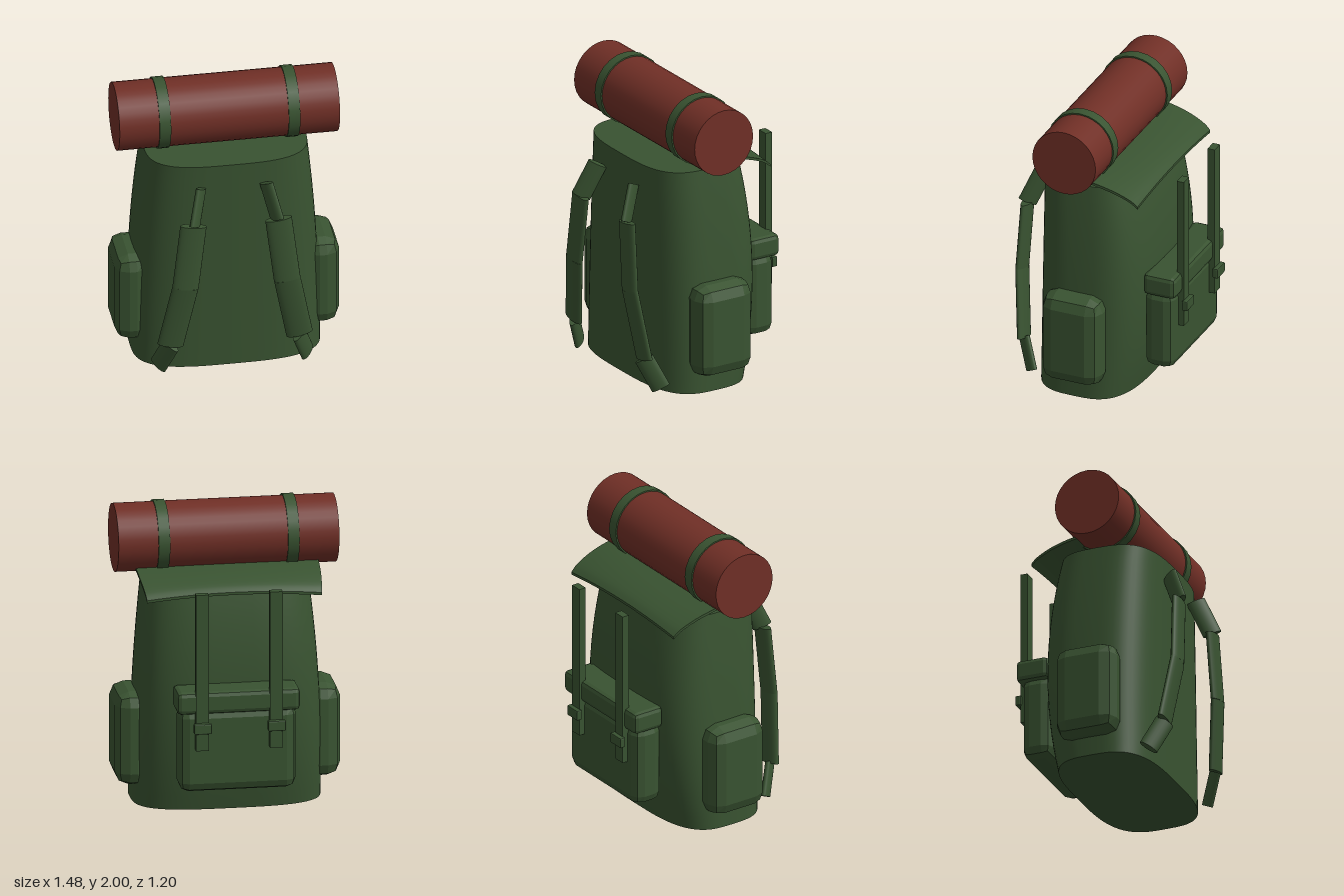
import * as THREE from 'three';
import { toCreasedNormals } from 'three/addons/utils/BufferGeometryUtils.js';
import { RoundedBoxGeometry } from 'three/addons/geometries/RoundedBoxGeometry.js';

const canvas = new THREE.MeshStandardMaterial({ color: 0x395331 });
canvas.name = 'green canvas';
const blanket = new THREE.MeshStandardMaterial({ color: 0x702f26 });
blanket.name = 'red blanket';

export function createModel() {
  const model = new THREE.Group();
  model.name = 'backpack';

  const add = (name, geometry, material = canvas, x = 0, y = 0, z = 0) => {
    const mesh = new THREE.Mesh(geometry, material);
    mesh.name = name;
    mesh.position.set(x, y, z);
    model.add(mesh);
    return mesh;
  };

  // Box with two-facet bevels, given by its limits
  const bevelBox = (name, [x0, x1], [y0, y1], [z0, z1], bevel) => {
    const g = new RoundedBoxGeometry(x1 - x0, y1 - y0, z1 - z0, 1, bevel);
    g.computeVertexNormals();
    return add(name, g, canvas, (x0 + x1) / 2, (y0 + y1) / 2, (z0 + z1) / 2);
  };

  // Flattened cylinder from a to b; thin is the direction of its small axis
  const padSegment = (name, a, b, width, thickness, thin) => {
    const d = b.clone().sub(a);
    const length = d.length();
    d.normalize();
    const n = thin ? thin.clone() : new THREE.Vector3().crossVectors(d, new THREE.Vector3(0, 1, 0));
    n.addScaledVector(d, -n.dot(d)).normalize();
    const w = new THREE.Vector3().crossVectors(d, n);
    const g = new THREE.CylinderGeometry(0.5, 0.5, length, 20);
    g.scale(width, 1, thickness);
    g.applyMatrix4(new THREE.Matrix4().makeBasis(w, d, n));
    const c = a.clone().add(b).multiplyScalar(0.5);
    return add(name, g, canvas, c.x, c.y, c.z);
  };

  // Main bag: squarish oval section, tapering upwards, with a bulging back
  const height = 1.52;
  const bag = new THREE.CylinderGeometry(1, 1, height, 64, 16);
  bag.translate(0, height / 2, 0);
  const p = bag.attributes.position;
  const soften = (v) => Math.sign(v) * Math.pow(Math.abs(v), 2 / 3.2);
  for (let i = 0; i < p.count; i++) {
    const x = p.getX(i), z = p.getZ(i), t = p.getY(i) / height;
    const r = Math.hypot(x, z);
    const halfWidth = 0.62 - 0.085 * Math.pow(t, 2.2);
    const back = -0.28 - 0.09 * (1 - Math.pow(2 * t - 1, 2));
    const sx = r ? soften(x / r) * r : 0;
    const sz = r ? soften(z / r) * r : 0;
    p.setX(i, sx * halfWidth);
    p.setZ(i, (0.41 + back) / 2 + sz * (0.41 - back) / 2);
  }
  bag.computeVertexNormals();
  add('mainBag', bag);

  // Top flap: thin curved sheet whose corners droop
  const curve = new THREE.CatmullRomCurve3([
    [-0.02, 1.603], [0.07, 1.596], [0.17, 1.582], [0.257, 1.56], [0.336, 1.528], [0.375, 1.497],
  ].map(([u, v]) => new THREE.Vector3(u, v, 0)));
  const upper = curve.getPoints(14).map((q) => new THREE.Vector2(q.x, q.y));
  const lower = upper.map((q) => new THREE.Vector2(q.x, q.y - 0.018)).reverse();
  let flap = new THREE.ExtrudeGeometry(new THREE.Shape([...upper, ...lower]), {
    depth: 2, steps: 16, bevelEnabled: false,
  });
  flap.translate(0, 0, -1);
  flap.rotateY(Math.PI / 2);
  const f = flap.attributes.position;
  for (let i = 0; i < f.count; i++) {
    const x = f.getX(i), reach = Math.max(0, -f.getZ(i)) / 0.375;
    f.setX(i, x * (0.6 - 0.025 * reach * reach));
    f.setY(i, f.getY(i) - 0.03 * x * x * reach);
  }
  flap = toCreasedNormals(flap, 0.6);
  add('topFlap', flap);

  // Bedroll on top with two straps around it
  const roll = new THREE.CylinderGeometry(0.225, 0.225, 1.45, 32);
  roll.rotateZ(Math.PI / 2);
  add('bedroll', roll, blanket, 0, 1.765, 0.08);
  const band = new THREE.CylinderGeometry(0.235, 0.235, 0.075, 24);
  band.rotateZ(Math.PI / 2);

  // Back pocket and its lid
  bevelBox('backPocket', [-0.385, 0.385], [0.19, 0.76], [-0.535, -0.325], 0.065);
  bevelBox('backPocketLid', [-0.405, 0.405], [0.73, 0.88], [-0.56, -0.335], 0.03);

  for (const s of [1, -1]) {
    const side = s > 0 ? 'left' : 'right';
    const at = (x, y, z) => new THREE.Vector3(s * x, y, z);
    const span = (c, w) => [s * c - w / 2, s * c + w / 2];

    add(side + 'BedrollStrap', band, canvas, s * 0.425, 1.765, 0.08);
    bevelBox(side + 'SidePocket', span(0.625, 0.23), [0.13, 0.76], [-0.16, 0.26], 0.09);

    // Closing strap and buckle down the back
    add(side + 'ClosingStrap', new THREE.BoxGeometry(0.083, 1.06, 0.05), canvas, s * 0.243, 1.02, -0.55);
    bevelBox(side + 'Buckle', span(0.243, 0.117), [0.61, 0.68], [-0.605, -0.565], 0.008);

    // Shoulder strap: two padded lengths between twisted end pieces
    const front = new THREE.Vector3(0, 0, 1);
    padSegment(side + 'ShoulderStrapTop', at(0.215, 1.385, 0.45), at(0.272, 1.158, 0.543), 0.13, 0.055);
    padSegment(side + 'ShoulderPadUpper', at(0.28, 1.16, 0.54), at(0.335, 0.7, 0.553), 0.175, 0.062, front);
    padSegment(side + 'ShoulderPadLower', at(0.335, 0.705, 0.553), at(0.425, 0.245, 0.5), 0.175, 0.062, front);
    padSegment(side + 'ShoulderStrapEnd', at(0.42, 0.245, 0.5), at(0.49, 0.045, 0.415), 0.13, 0.055);
  }
  return model;
}
